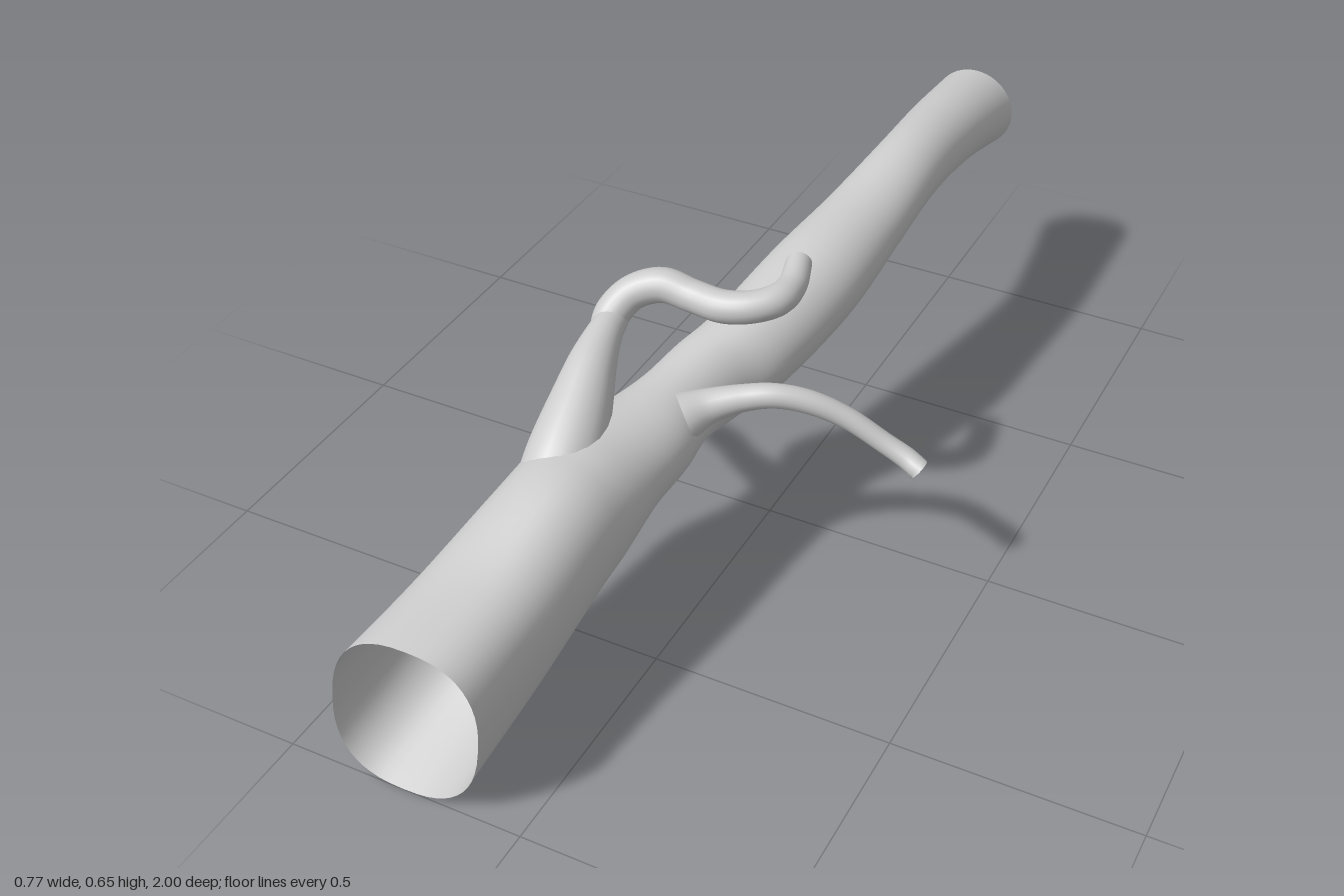
import * as THREE from 'three';

const material = new THREE.MeshStandardMaterial({ color: 0xcccccc, side: THREE.DoubleSide });

// Open skin over a list of rings, each holding the same number of points
function skin(name, rings) {
  const n = rings[0].length, index = [];
  for (let i = 0; i < rings.length - 1; i++) {
    for (let j = 0; j < n; j++) {
      const k = (j + 1) % n;
      const a = i * n + j, b = i * n + k, c = a + n, d = b + n;
      index.push(a, b, c, b, d, c);
    }
  }
  const geometry = new THREE.BufferGeometry().setFromPoints(rings.flat());
  geometry.setIndex(index);
  geometry.computeVertexNormals();
  const mesh = new THREE.Mesh(geometry, material);
  mesh.name = name;
  return mesh;
}

// Round vessel along a path; each stop is [x, y, z, radius]
function vessel(name, stops, steps = 48, sides = 20) {
  const curve = new THREE.CatmullRomCurve3(stops.map(([x, y, z]) => new THREE.Vector3(x, y, z)));
  const radii = new THREE.CatmullRomCurve3(
    stops.map(s => new THREE.Vector3(s[3], 0, 0)), false, 'catmullrom');
  const frames = curve.computeFrenetFrames(steps);
  const rings = [];
  for (let i = 0; i <= steps; i++) {
    const u = i / steps;
    const centre = curve.getPointAt(u);
    const r = radii.getPoint(curve.getUtoTmapping(u)).x;
    const ring = [];
    for (let j = 0; j < sides; j++) {
      const a = j / sides * Math.PI * 2;
      ring.push(centre.clone()
        .addScaledVector(frames.normals[i], r * Math.cos(a))
        .addScaledVector(frames.binormals[i], r * Math.sin(a)));
    }
    rings.push(ring);
  }
  return skin(name, rings);
}

// Main vessel: [z, left edge, right edge, bottom, top]
function trunk() {
  const sections = [
    [1.0, -0.39, -0.06, 0.0, 0.37],
    [0.8, -0.355, -0.05, 0.07, 0.395],
    [0.6, -0.305, -0.04, 0.155, 0.455],
    [0.5, -0.295, -0.035, 0.19, 0.465],
    [0.4, -0.285, -0.03, 0.24, 0.463],
    [0.3, -0.235, -0.02, 0.27, 0.46],
    [0.2, -0.2, -0.025, 0.285, 0.465],
    [0.1, -0.18, 0.0, 0.285, 0.485],
    [0.0, -0.15, 0.05, 0.31, 0.51],
    [-0.2, -0.11, 0.1, 0.365, 0.565],
    [-0.4, -0.075, 0.11, 0.42, 0.585],
    [-0.6, -0.045, 0.115, 0.455, 0.617],
    [-0.8, -0.05, 0.12, 0.44, 0.608],
    [-1.0, -0.06, 0.13, 0.395, 0.585],
  ];
  const track = (p, q) => new THREE.CatmullRomCurve3(
    sections.map(s => new THREE.Vector3(s[p], s[q], s[0])), false, 'catmullrom');
  const across = track(1, 2), upright = track(3, 4);
  const steps = 90, sides = 48, rings = [];
  for (let i = 0; i <= steps; i++) {
    const w = across.getPoint(i / steps), h = upright.getPoint(i / steps);
    // The wide mouth is squarer and leans over, the rest is oval
    const mouth = THREE.MathUtils.smoothstep(w.z, 0.35, 1);
    const power = 2 / (2 + 0.5 * mouth);
    const ring = [];
    for (let j = 0; j < sides; j++) {
      const a = j / sides * Math.PI * 2;
      const c = Math.cos(a), s = Math.sin(a);
      const v = Math.sign(s) * Math.abs(s) ** power;
      const u = Math.sign(c) * Math.abs(c) ** power * (1 - 0.06 * mouth) + 0.16 * mouth * v;
      ring.push(new THREE.Vector3(
        (w.x + w.y) / 2 + u * (w.y - w.x) / 2,
        (h.x + h.y) / 2 + v * (h.y - h.x) / 2,
        w.z));
    }
    rings.push(ring);
  }
  return skin('mainVessel', rings);
}

export function createModel() {
  const group = new THREE.Group();
  group.name = 'branchingVessel';
  group.add(
    trunk(),
    // Tapered stem rising from the top of the main vessel
    vessel('upperStem', [
      [-0.195, 0.375, 0.52, 0.075], [-0.2, 0.42, 0.46, 0.075], [-0.21, 0.47, 0.39, 0.064],
      [-0.225, 0.52, 0.31, 0.048], [-0.235, 0.545, 0.245, 0.036], [-0.24, 0.553, 0.2, 0.031],
    ]),
    // Winding branch that carries on from the stem
    vessel('upperBranch', [
      [-0.248, 0.535, 0.225, 0.03], [-0.245, 0.56, 0.195, 0.036], [-0.22, 0.594, 0.16, 0.035],
      [-0.165, 0.614, 0.135, 0.035], [-0.1, 0.606, 0.132, 0.033], [-0.03, 0.606, 0.137, 0.033],
      [0.025, 0.612, 0.12, 0.032], [0.06, 0.618, 0.085, 0.032], [0.065, 0.62, 0.035, 0.029],
      [0.047, 0.629, -0.035, 0.026],
    ], 80),
    // Long side branch on the left
    vessel('leftBranch', [
      [-0.06, 0.41, 0.25, 0.05], [-0.025, 0.424, 0.22, 0.036], [0.03, 0.441, 0.19, 0.028],
      [0.09, 0.451, 0.165, 0.025], [0.15, 0.439, 0.138, 0.024], [0.22, 0.407, 0.112, 0.022],
      [0.3, 0.358, 0.096, 0.021], [0.345, 0.336, 0.094, 0.022], [0.375, 0.324, 0.101, 0.022],
    ], 64),
    // Short side branch on the right, hanging down
    vessel('rightBranch', [
      [-0.13, 0.345, 0.17, 0.06], [-0.175, 0.315, 0.13, 0.042], [-0.21, 0.28, 0.085, 0.031],
      [-0.245, 0.25, 0.04, 0.027], [-0.27, 0.228, 0.0, 0.028], [-0.295, 0.212, -0.025, 0.028],
      [-0.315, 0.193, -0.05, 0.024],
    ]),
  );
  return group;
}
